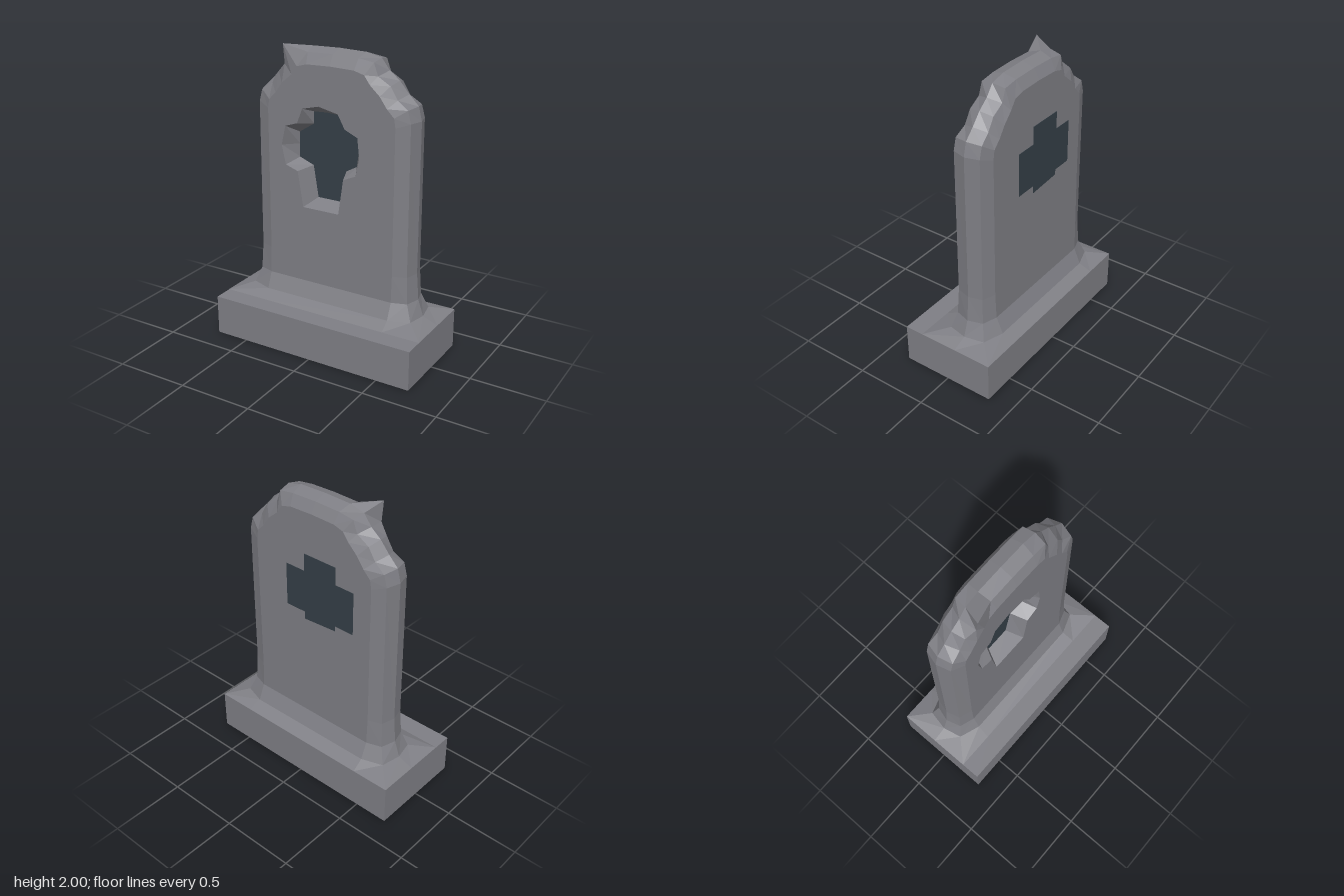
import * as THREE from 'three';

const MID_Z = -0.065;
const backZ = (z) => 2 * MID_Z - z;

// Skin a list of point rings with flat-shaded quads
function loft(rings, closed) {
  const pos = [];
  for (let i = 0; i < rings.length - 1; i++) {
    const n = rings[i].length;
    for (let j = 0; j < (closed ? n : n - 1); j++) {
      const k = (j + 1) % n;
      const a = rings[i][j], b = rings[i][k], c = rings[i + 1][k], d = rings[i + 1][j];
      pos.push(...a, ...d, ...b, ...b, ...d, ...c);
    }
  }
  const geo = new THREE.BufferGeometry();
  geo.setAttribute('position', new THREE.Float32BufferAttribute(pos, 3));
  geo.computeVertexNormals();
  return geo;
}

// Right half of an outline (bottom to top centre) completed on the left
function mirrored(half) {
  return [...half, ...half.slice(0, -1).reverse().map(([x, y]) => [-x, y])];
}

const toShape = (pts) => new THREE.Shape(pts.map(([x, y]) => new THREE.Vector2(x, y)));

// Slab outlines: widest at mid thickness, then shoulder, then flat face
const edgeOutline = mirrored([[0.59, 0.42], [0.575, 0.6], [0.573, 1.6], [0.55, 1.69], [0.485, 1.755],
  [0.42, 1.83], [0.35, 1.885], [0.295, 1.955], [0.19, 1.98], [0, 1.985]]);
const shoulderOutline = mirrored([[0.56, 0.42], [0.55, 0.6], [0.547, 1.6], [0.525, 1.68], [0.45, 1.73],
  [0.4, 1.81], [0.315, 1.86], [0.285, 1.94], [0.18, 1.955], [0, 1.96]]);
const faceOutline = mirrored([[0.46, 0.42], [0.46, 0.6], [0.46, 1.57], [0.45, 1.63], [0.4, 1.68],
  [0.35, 1.75], [0.28, 1.81], [0.24, 1.865], [0.17, 1.885], [0, 1.89]]);

const faceZ = (y) => (y < 0.5 ? 0.068 : y > 1.8 ? 0.055 : 0.06);
const shoulderZ = (y) => (y < 0.5 ? 0.035 : y > 1.7 ? 0.018 : 0.028);

// Worn pit in the front face: rim and floor, clockwise from top left
const pitRim = [[-0.2, 1.6], [-0.08, 1.63], [0.06, 1.6], [0.11, 1.51], [0.2, 1.47], [0.215, 1.34],
  [0.19, 1.22], [0.1, 1.18], [0.065, 0.94], [-0.2, 0.94], [-0.24, 1.18], [-0.33, 1.21],
  [-0.36, 1.34], [-0.33, 1.47], [-0.24, 1.5]];
const pitFloor = [[-0.18, 1.56], [-0.08, 1.565], [0.02, 1.56], [0.055, 1.47], [0.15, 1.46], [0.15, 1.35],
  [0.15, 1.25], [0.06, 1.2], [0.015, 0.985], [-0.15, 0.985], [-0.185, 1.2], [-0.29, 1.24],
  [-0.29, 1.33], [-0.29, 1.41], [-0.18, 1.48]];

// Horizontal section of the foot, from front right round to front left
function footSection(y, pts) {
  const right = pts.map(([x, z]) => [x, y, z]);
  return [...right, ...right.slice().reverse().map(([x, yy, z]) => [-x, yy, z])];
}

export function createModel() {
  const group = new THREE.Group();
  const stone = new THREE.MeshStandardMaterial({ color: 0x7f7f85 });
  stone.name = 'grey stone';
  const dark = new THREE.MeshStandardMaterial({ color: 0x353f47 });
  dark.name = 'dark inlay';

  const add = (name, geo, mat) => {
    const mesh = new THREE.Mesh(geo, mat);
    mesh.name = name;
    group.add(mesh);
    return mesh;
  };

  // Plinth
  const plinth = new THREE.BoxGeometry(1.46, 0.27, 0.66);
  plinth.translate(0, 0.135, 0);
  add('plinth', plinth, stone);

  // Flared foot, top to bottom
  add('foot', loft([
    footSection(0.42, [[0.46, 0.068], [0.56, 0.035], [0.59, MID_Z], [0.56, backZ(0.035)], [0.46, backZ(0.068)]]),
    footSection(0.312, [[0.46, 0.112], [0.6, 0.062], [0.628, MID_Z], [0.6, -0.2], [0.46, -0.245]]),
    footSection(0.272, [[0.47, 0.2], [0.73, 0.2], [0.73, MID_Z], [0.73, -0.33], [0.47, -0.33]]),
  ], true), stone);

  // Bevelled edge running around the slab, front to back
  const frontFace = faceOutline.map(([x, y]) => [x, y, faceZ(y)]);
  const frontShoulder = shoulderOutline.map(([x, y]) => [x, y, shoulderZ(y)]);
  const middle = edgeOutline.map(([x, y]) => [x, y, MID_Z]);
  const backShoulder = shoulderOutline.map(([x, y]) => [x, y, backZ(shoulderZ(y))]);
  const backFace = faceOutline.map(([x, y]) => [x, y, backZ(faceZ(y))]);
  // Chipped corner pulled out to a spike
  frontShoulder[11] = [-0.335, 2.0, 0.062];
  frontShoulder[12] = [-0.335, 1.87, 0.045];
  add('slabEdge', loft([frontFace, frontShoulder, middle, backShoulder, backFace], false), stone);

  // Front face with the pit opening
  const frontShape = toShape(faceOutline);
  frontShape.holes.push(new THREE.Path(pitRim.map(([x, y]) => new THREE.Vector2(x, y))));
  const front = new THREE.ShapeGeometry(frontShape);
  const back = new THREE.ShapeGeometry(toShape(faceOutline));
  for (const geo of [front, back]) {
    const p = geo.attributes.position;
    for (let i = 0; i < p.count; i++) p.setZ(i, faceZ(p.getY(i)));
  }
  add('frontFace', front, stone);

  // Back face
  back.rotateY(Math.PI);
  back.translate(0, 0, 2 * MID_Z);
  add('backFace', back, stone);

  // Sloping pit walls
  add('pitWalls', loft([
    pitRim.map(([x, y]) => [x, y, 0.06]),
    pitFloor.map(([x, y]) => [x, y, -0.052]),
  ], true), stone);

  // Dark cross: floor of the pit, flush with the back
  const cross = new THREE.ExtrudeGeometry(toShape([[-0.19, 0.95], [0.06, 0.95], [0.06, 1.195], [0.21, 1.195],
    [0.21, 1.49], [0.06, 1.49], [0.06, 1.61], [-0.19, 1.61], [-0.19, 1.49], [-0.33, 1.49],
    [-0.33, 1.195], [-0.19, 1.195]]), { depth: 0.143, bevelEnabled: false });
  cross.translate(0, 0, -0.193);
  add('crossInlay', cross, dark);

  return group;
}
